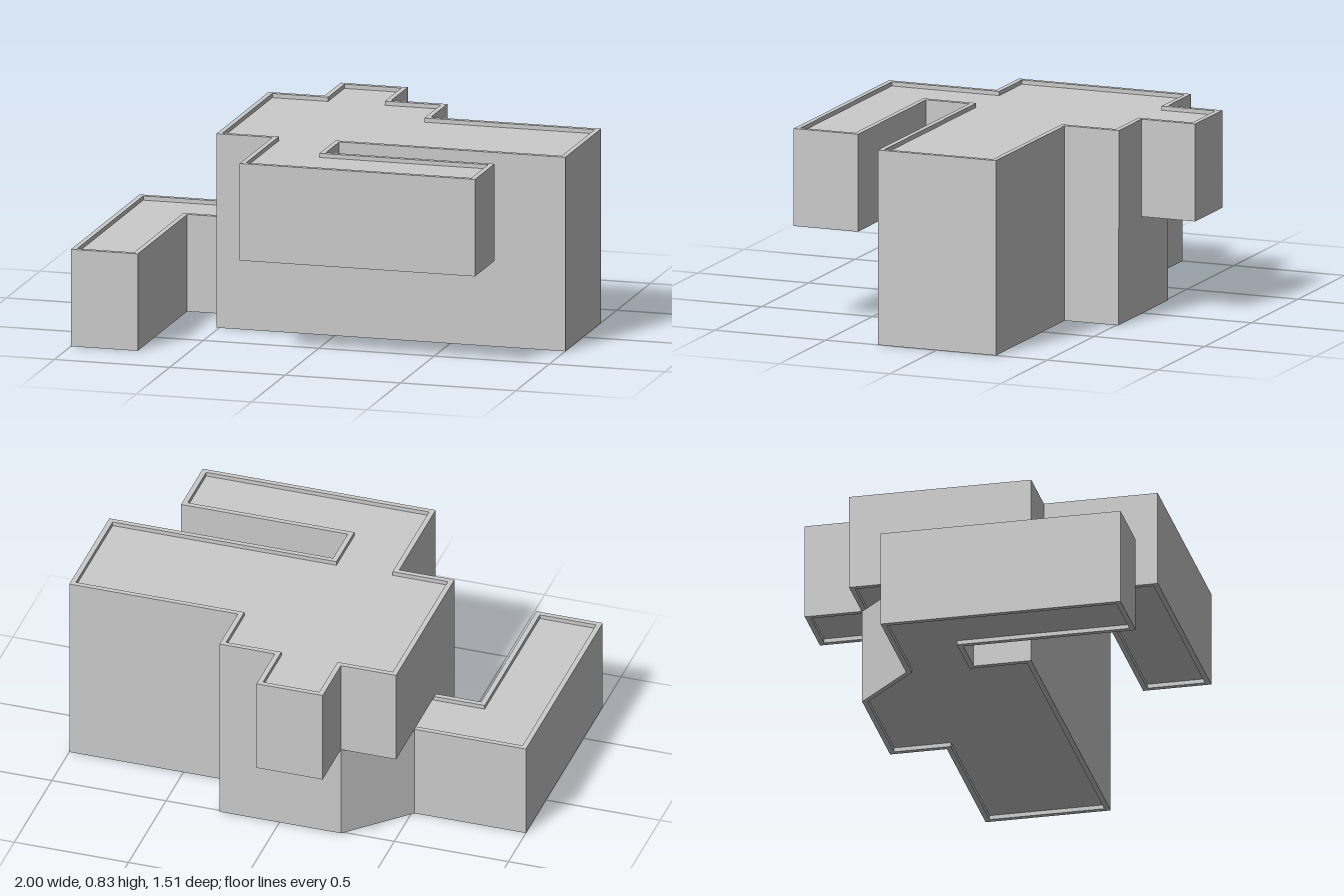
import * as THREE from 'three';

const RIM = 0.022;    // wall thickness
const RECESS = 0.018; // how far roof and floor sit inside the walls
const SPLIT = 0.415, TOP = 0.83;

// Plan outlines as [x, z], both running the same way round
const LOWER = [
  [-1, -0.268], [-0.512, -0.268], [-0.27, -0.51], [0.262, -0.51], [0.262, -0.268], [1, -0.268],
  [1, 0.265], [-0.512, 0.265], [-0.512, 0.02], [-0.71, 0.02], [-0.71, 0.755], [-1, 0.755],
];
const UPPER = [
  [-0.27, -0.755], [0.02, -0.755], [0.02, -0.512], [0.262, -0.512], [0.262, -0.268], [1, -0.268],
  [1, 0.265], [0.02, 0.265], [0.02, 0.46], [0.75, 0.46], [0.75, 0.75],
  [-0.27, 0.75], [-0.27, 0.265], [-0.512, 0.265], [-0.512, -0.512], [-0.27, -0.512],
];

const toPoints = (list) => list.map(([x, z]) => new THREE.Vector2(x, z));

// Moves every edge inward by d, with mitred corners
function inset(points, d) {
  const n = points.length;
  const normal = (a, b) => {
    const e = b.clone().sub(a).normalize();
    return new THREE.Vector2(-e.y, e.x);
  };
  return points.map((p, i) => {
    const n1 = normal(points[(i + n - 1) % n], p);
    const n2 = normal(p, points[(i + 1) % n]);
    return n1.clone().add(n2).multiplyScalar(d / (1 + n1.dot(n2))).add(p);
  });
}

// Upright prism over a plan shape, from y0 to y1
function prism(shape, y0, y1, material, name) {
  const geometry = new THREE.ExtrudeGeometry(shape, { depth: y1 - y0, bevelEnabled: false });
  geometry.rotateX(Math.PI / 2).translate(0, y1, 0);
  const mesh = new THREE.Mesh(geometry, material);
  mesh.name = name;
  return mesh;
}

// One storey: a ring of walls around a sunken roof and a raised floor
function storey(name, plan, y0, y1, material) {
  const group = new THREE.Group();
  group.name = name;
  const outer = toPoints(plan);
  const inner = inset(outer, RIM);
  const walls = new THREE.Shape(outer);
  walls.holes.push(new THREE.Path(inner));
  group.add(prism(walls, y0, y1, material, name + 'Walls'));
  group.add(prism(new THREE.Shape(inner), y0 + RECESS, y1 - RECESS, material, name + 'RoofAndFloor'));
  return group;
}

export function createModel() {
  const material = new THREE.MeshStandardMaterial({ color: 0xcccccc, flatShading: true });
  const model = new THREE.Group();
  model.name = 'building';
  model.add(storey('lowerStorey', LOWER, 0, SPLIT, material));
  model.add(storey('upperStorey', UPPER, SPLIT, TOP, material));
  return model;
}
